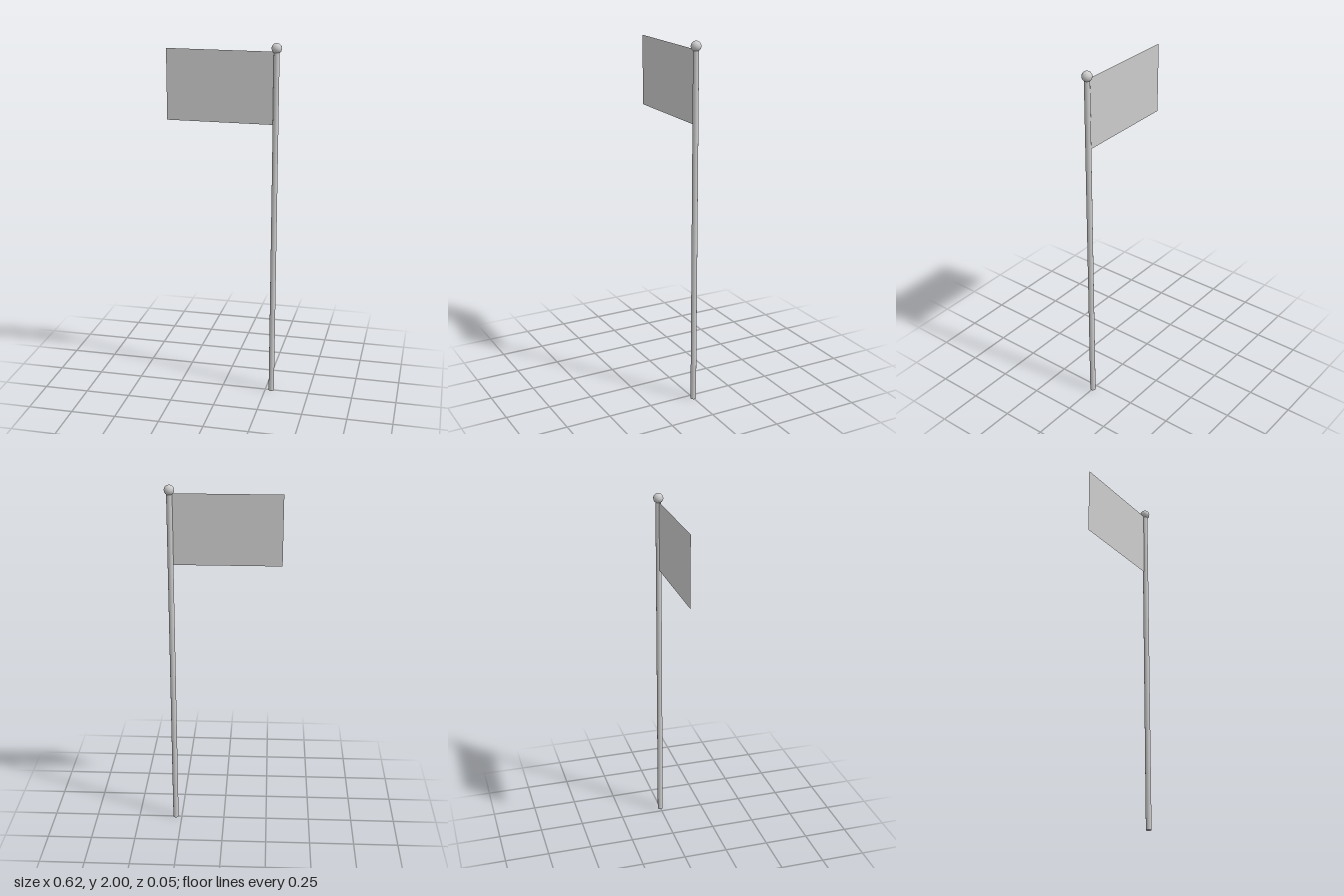
import * as THREE from 'three';

const POLE_X = 0.285;
const POLE_RADIUS = 0.0155;
const BALL_RADIUS = 0.0275;

export function createModel() {
  const group = new THREE.Group();
  group.name = 'flagpole';
  const grey = new THREE.MeshStandardMaterial({ color: 0xcccccc });
  const cloth = new THREE.MeshStandardMaterial({ color: 0xcccccc, side: THREE.DoubleSide });

  const add = (name, geometry, material, x, y) => {
    const mesh = new THREE.Mesh(geometry, material);
    mesh.name = name;
    mesh.position.set(x, y, 0);
    group.add(mesh);
  };

  // Upright pole, standing on the ground and ending inside the ball
  const poleHeight = 1.955;
  add('pole', new THREE.CylinderGeometry(POLE_RADIUS, POLE_RADIUS, poleHeight, 16), grey, POLE_X, poleHeight / 2);

  // Ball finial
  add('finial', new THREE.SphereGeometry(BALL_RADIUS, 16, 12), grey, POLE_X, 2 - BALL_RADIUS);

  // Flat sheet of cloth, attached along the side of the pole
  const left = -0.3125, right = 0.271, bottom = 1.566, top = 1.955;
  add('flag', new THREE.PlaneGeometry(right - left, top - bottom), cloth, (left + right) / 2, (bottom + top) / 2);

  return group;
}
